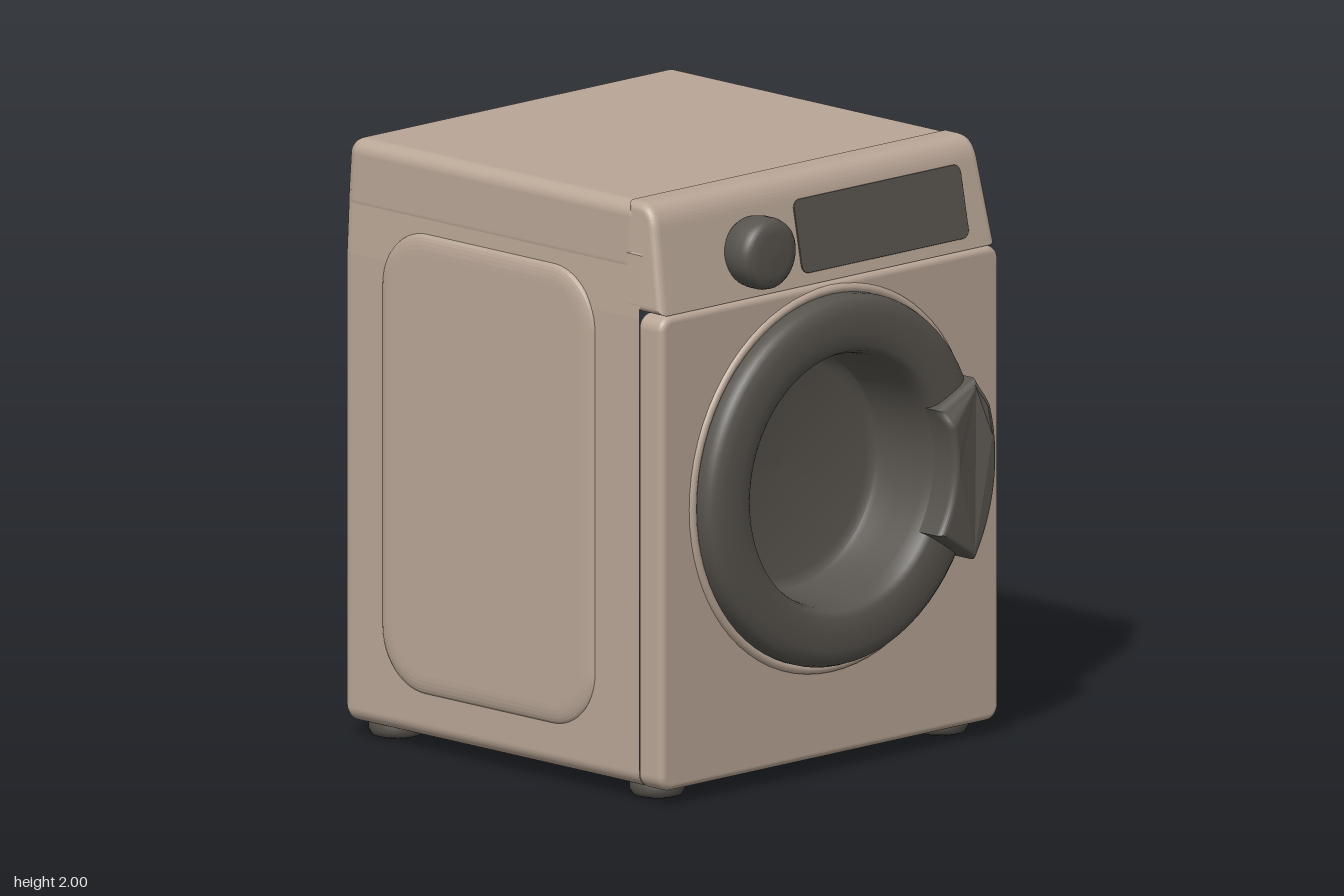
import * as THREE from 'three';
import { RoundedBoxGeometry } from 'three/addons/geometries/RoundedBoxGeometry.js';

const enamel = new THREE.MeshStandardMaterial({ color: 0xb9a696 });
enamel.name = 'beige enamel';
const dark = new THREE.MeshStandardMaterial({ color: 0x57534d });
dark.name = 'dark grey';

function add(parent, name, geometry, material, x = 0, y = 0, z = 0) {
  const mesh = new THREE.Mesh(geometry, material);
  mesh.name = name;
  mesh.position.set(x, y, z);
  parent.add(mesh);
  return mesh;
}

// Rounded rectangle centred on the origin
function roundedRect(w, h, r) {
  const s = new THREE.Shape(), x = w / 2, y = h / 2;
  s.absarc(x - r, y - r, r, 0, Math.PI / 2);
  s.absarc(-x + r, y - r, r, Math.PI / 2, Math.PI);
  s.absarc(-x + r, -y + r, r, Math.PI, Math.PI * 1.5);
  s.absarc(x - r, -y + r, r, Math.PI * 1.5, Math.PI * 2);
  return s;
}

function extrude(shape, depth, bevelThickness, bevelSize, curveSegments = 12) {
  return new THREE.ExtrudeGeometry(shape, {
    depth, bevelThickness, bevelSize, bevelOffset: -bevelSize, bevelSegments: 6, curveSegments,
  });
}

// Lathe whose axis points to the front
function frontLathe(points, segments) {
  const g = new THREE.LatheGeometry(points.map(([r, z]) => new THREE.Vector2(r, z)), segments);
  return g.rotateX(Math.PI / 2);
}

// Moves every vertex by a rule
function deform(geometry, rule) {
  const p = geometry.attributes.position, v = new THREE.Vector3();
  for (let i = 0; i < p.count; i++) {
    v.fromBufferAttribute(p, i);
    rule(v);
    p.setXYZ(i, v.x, v.y, v.z);
  }
  return geometry;
}

// Narrows the upper part of the machine slightly
const taper = (v) => { v.x *= 1 - 0.1 * Math.max(0, v.y - 1.64); };

// Cabinet shell: outline lofted from a rounded back to an open front edge
function cabinetGeometry() {
  const s = new THREE.Shape();
  s.absarc(0.718, 0.1, 0.05, -Math.PI / 2, 0);
  s.lineTo(0.768, 1.62);
  s.lineTo(0.757, 1.83);
  s.lineTo(0.745, 1.845);
  s.lineTo(-0.745, 1.845);
  s.lineTo(-0.757, 1.83);
  s.lineTo(-0.768, 1.62);
  s.absarc(-0.718, 0.1, 0.05, Math.PI, Math.PI * 1.5);
  const outline = s.getPoints(8), n = outline.length, radius = 0.04, steps = 6;
  const levels = [];
  for (let i = 0; i <= steps; i++) {
    const a = (i / steps) * Math.PI / 2;
    levels.push([-0.81 + radius * (1 - Math.sin(a)), radius * (1 - Math.cos(a))]);
  }
  levels.reverse();
  levels.forEach((l, i) => {
    const a = (i / steps) * Math.PI / 2;
    l[0] = -0.81 + radius * (1 - Math.cos(a));
    l[1] = radius * (1 - Math.sin(a));
  });
  levels.push([0.575, 0]);
  const pos = [], index = [];
  for (const [z, inset] of levels) {
    for (const p of outline) {
      pos.push(p.x * (1 - inset / 0.77), 0.95 + (p.y - 0.95) * (1 - inset / 0.9), z);
    }
  }
  for (let k = 0; k < levels.length - 1; k++) {
    for (let i = 0; i < n; i++) {
      const a = k * n + i, b = k * n + (i + 1) % n;
      index.push(a, b, b + n, a, b + n, a + n);
    }
  }
  const centre = pos.length / 3;
  pos.push(0, 0.95, -0.81);
  for (let i = 0; i < n; i++) index.push(centre, (i + 1) % n, i);
  let g = new THREE.BufferGeometry();
  g.setAttribute('position', new THREE.Float32BufferAttribute(pos, 3));
  g.setIndex(index);
  g = g.toNonIndexed();
  g.computeVertexNormals();
  return g;
}

export function createModel() {
  const model = new THREE.Group();
  model.name = 'washingMachine';

  // Cabinet and lid
  add(model, 'cabinet', cabinetGeometry(), enamel);
  const lid = new RoundedBoxGeometry(1.544, 0.248, 1.365, 6, 0.05);
  lid.translate(0, 1.874, -0.1325);
  add(model, 'lid', deform(lid, taper), enamel);

  // Front panel with the door opening
  const front = roundedRect(1.55, 1.59, 0.05);
  const opening = new THREE.Path();
  opening.absarc(0, 0.14, 0.5, 0, Math.PI * 2, true);
  front.holes.push(opening);
  add(model, 'frontPanel', extrude(front, 0.07, 0.022, 0.022, 24), enamel, 0, 0.845, 0.593);

  // Leaning control panel, its side profile extruded across the width
  const profile = new THREE.Shape();
  profile.moveTo(0.5, 1.642);
  profile.lineTo(0.676, 1.642);
  profile.lineTo(0.622, 1.92);
  profile.quadraticCurveTo(0.607, 2.0, 0.54, 2.0);
  profile.lineTo(0.49, 2.0);
  profile.lineTo(0.49, 1.9);
  const panel = extrude(profile, 1.476, 0.03, 0.025);
  panel.rotateY(-Math.PI / 2).translate(0.738, 0, 0);
  deform(panel, taper).computeVertexNormals();
  add(model, 'controlPanel', panel, enamel);

  // Display and knob
  const display = add(model, 'display', extrude(roundedRect(0.765, 0.245, 0.03), 0.004, 0.002, 0.002),
    dark, 0.268, 1.8, 0.644);
  display.rotation.x = -0.192;
  add(model, 'knob', frontLathe([
    [0.1, 0], [0.113, 0.02], [0.12, 0.06], [0.12, 0.1], [0.114, 0.122], [0.1, 0.135], [0.07, 0.14], [0, 0.142],
  ], 40), dark, -0.335, 1.795, 0.625);

  // Door: raised ring running into a deep glass bowl
  const door = new THREE.Group();
  door.name = 'door';
  door.position.set(0, 0.98, 0);
  model.add(door);
  add(door, 'doorSurround', new THREE.TorusGeometry(0.632, 0.018, 10, 72), enamel, 0, 0, 0.679);
  add(door, 'doorRing', frontLathe([
    [0.615, 0.66], [0.62, 0.69], [0.62, 0.72], [0.612, 0.742], [0.595, 0.757], [0.56, 0.768], [0.5, 0.768],
    [0.455, 0.763], [0.435, 0.75], [0.424, 0.725], [0.418, 0.69], [0.41, 0.6], [0.4, 0.52], [0.39, 0.495],
  ], 72), dark);
  add(door, 'glassBowl', frontLathe([
    [0.392, 0.5], [0.38, 0.49], [0.36, 0.483], [0.25, 0.468], [0.12, 0.458], [0, 0.455],
  ], 64), dark);

  // Handle: curved grip on the ring, fading out at its upper end
  const grip = new THREE.Shape();
  const low = -0.57, high = 0.44;
  grip.absarc(0, 0, 0.619, low, high, false);
  grip.absarc(0, 0, 0.426, high, low, true);
  const handle = deform(extrude(grip, 0.085, 0.025, 0.02, 24), (v) => {
    const fade = THREE.MathUtils.smoothstep(Math.atan2(v.y, v.x), 0.28, 0.44);
    v.z -= 0.035 * fade;
  });
  handle.computeVertexNormals();
  add(door, 'doorHandle', handle, dark, 0, 0, 0.725);

  // Pressed side panels
  const pressing = extrude(roundedRect(0.99, 1.54, 0.2), 0.005, 0.02, 0.065, 16);
  for (const s of [-1, 1]) {
    const side = add(model, s > 0 ? 'leftSidePanel' : 'rightSidePanel', pressing, enamel, s * 0.76, 0.97, -0.125);
    side.rotation.y = s * Math.PI / 2;
  }

  // Feet
  const foot = new THREE.LatheGeometry([
    [0, 0], [0.06, 0.002], [0.083, 0.01], [0.092, 0.028], [0.092, 0.05], [0.084, 0.07], [0, 0.07],
  ].map(([r, y]) => new THREE.Vector2(r, y)), 28);
  for (const x of [-0.648, 0.648]) {
    for (const z of [0.537, -0.677]) add(model, z > 0 ? 'frontFoot' : 'rearFoot', foot, dark, x, 0, z);
  }
  return model;
}
